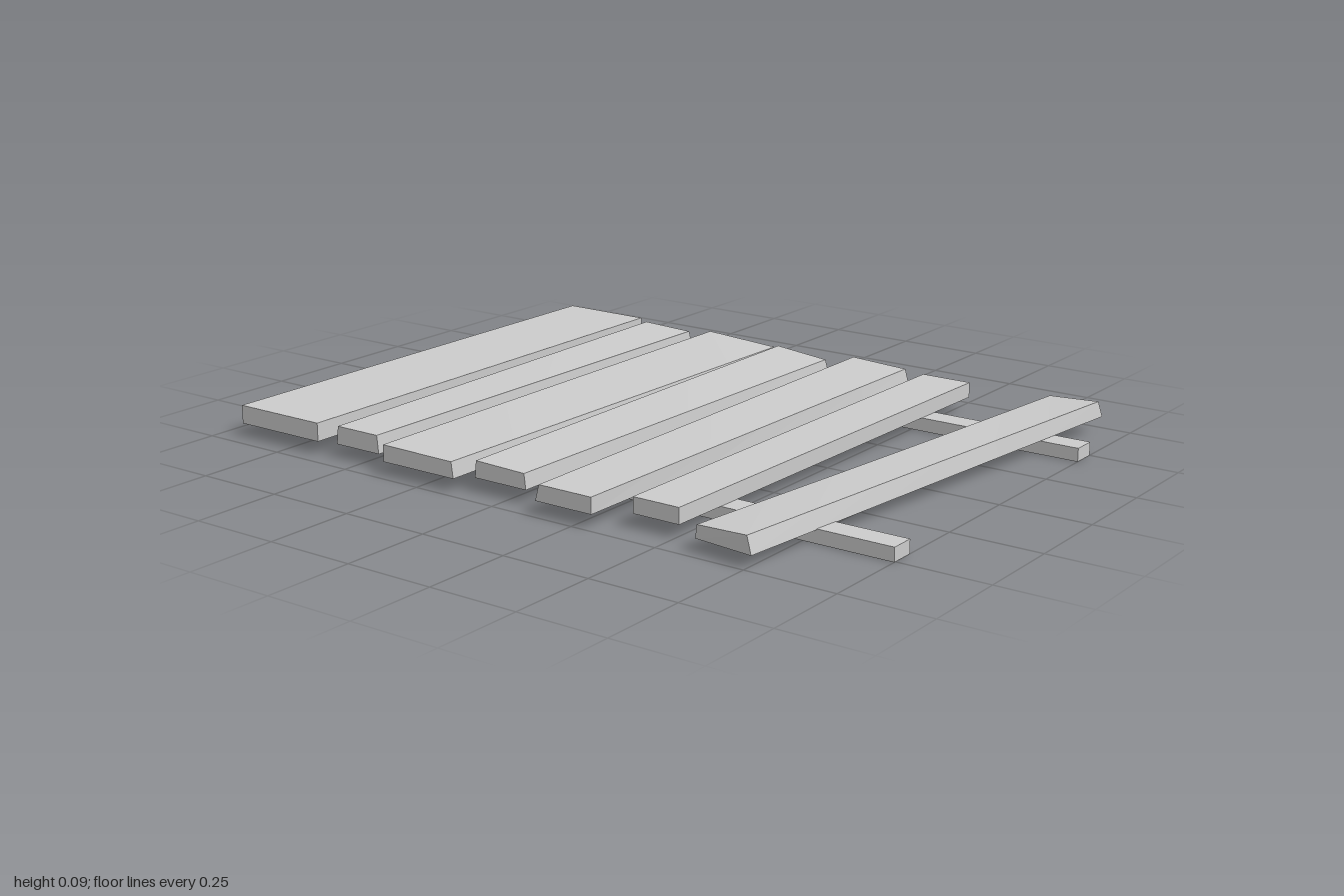
import * as THREE from 'three';

const material = new THREE.MeshStandardMaterial({ color: 0xcccccc, flatShading: true });

// Each end: back corner x, z; front corner x, z; bottom y; top y at back, front; top inset at back, front.
// lean: how far the lower edge of the right end sticks out.
const planks = [
  { left: [-0.70, -0.93, -0.70, -0.645, 0.036, 0.087, 0.087, 0, 0],
    right: [0.72, -0.93, 0.72, -0.645, 0.037, 0.088, 0.088, 0.01, 0], lean: 0.004 },
  { left: [-0.69, -0.585, -0.69, -0.435, 0.038, 0.088, 0.088, 0.006, 0.005],
    right: [0.69, -0.597, 0.69, -0.43, 0.038, 0.09, 0.084, 0, 0.004], lean: 0.01 },
  { left: [-0.725, -0.385, -0.725, -0.147, 0.036, 0.082, 0.08, 0, 0.006],
    right: [0.72, -0.378, 0.72, -0.137, 0.036, 0.086, 0.073, 0, 0.006], lean: 0.007 },
  { left: [-0.69, -0.105, -0.69, 0.06, 0.038, 0.084, 0.08, 0.004, 0.005],
    right: [0.687, -0.113, 0.677, 0.073, 0.038, 0.09, 0.077, 0.008, 0.005], lean: 0.01 },
  { left: [-0.735, 0.127, -0.735, 0.30, 0.036, 0.08, 0.08, 0.012, 0],
    right: [0.73, 0.13, 0.73, 0.312, 0.036, 0.083, 0.075, 0, 0.006], lean: 0.008 },
  { left: [-0.672, 0.377, -0.672, 0.513, 0.037, 0.08, 0.08, 0, 0],
    right: [0.688, 0.385, 0.688, 0.535, 0.037, 0.08, 0.08, 0, 0], lean: 0 },
  { left: [-0.717, 0.592, -0.737, 0.762, 0.033, 0.068, 0.08, 0.004, 0.012],
    right: [0.73, 0.758, 0.712, 0.932, 0.044, 0.075, 0.088, 0.012, 0.008], lean: 0.012, bulge: 0.018 },
];

// Rough-cut plank: a box whose corners are moved to the two end outlines
function plankGeometry({ left, right, lean, bulge = 0 }) {
  const geometry = new THREE.BoxGeometry(1, 1, 1, 6, 1, 1);
  const p = geometry.attributes.position;
  for (let i = 0; i < p.count; i++) {
    const t = p.getX(i) + 0.5;
    const top = p.getY(i) > 0, front = p.getZ(i) > 0;
    const [xb, zb, xf, zf, bottom, topB, topF, insetB, insetF] =
      left.map((v, k) => THREE.MathUtils.lerp(v, right[k], t));
    const arch = bulge * Math.sin(Math.PI * t);
    let x = front ? xf : xb, y = bottom, z = front ? zf : zb;
    if (top) {
      x -= lean * t;
      y = front ? topF : topB + arch * 0.4;
      z += front ? -insetF : insetB + arch;
    }
    p.setXYZ(i, x, y, z);
  }
  geometry.computeVertexNormals();
  return geometry;
}

export function createModel() {
  const model = new THREE.Group();
  model.name = 'plankWalkway';

  // Two long rails under the planks
  for (const [name, x] of [['rightRail', -0.47], ['leftRail', 0.465]]) {
    const rail = new THREE.Mesh(new THREE.BoxGeometry(0.07, 0.037, 2), material);
    rail.name = name;
    rail.position.set(x, 0.0185, 0);
    model.add(rail);
  }

  // Seven uneven planks from back to front
  planks.forEach((plank, i) => {
    const mesh = new THREE.Mesh(plankGeometry(plank), material);
    mesh.name = `plank${i + 1}`;
    model.add(mesh);
  });

  return model;
}
